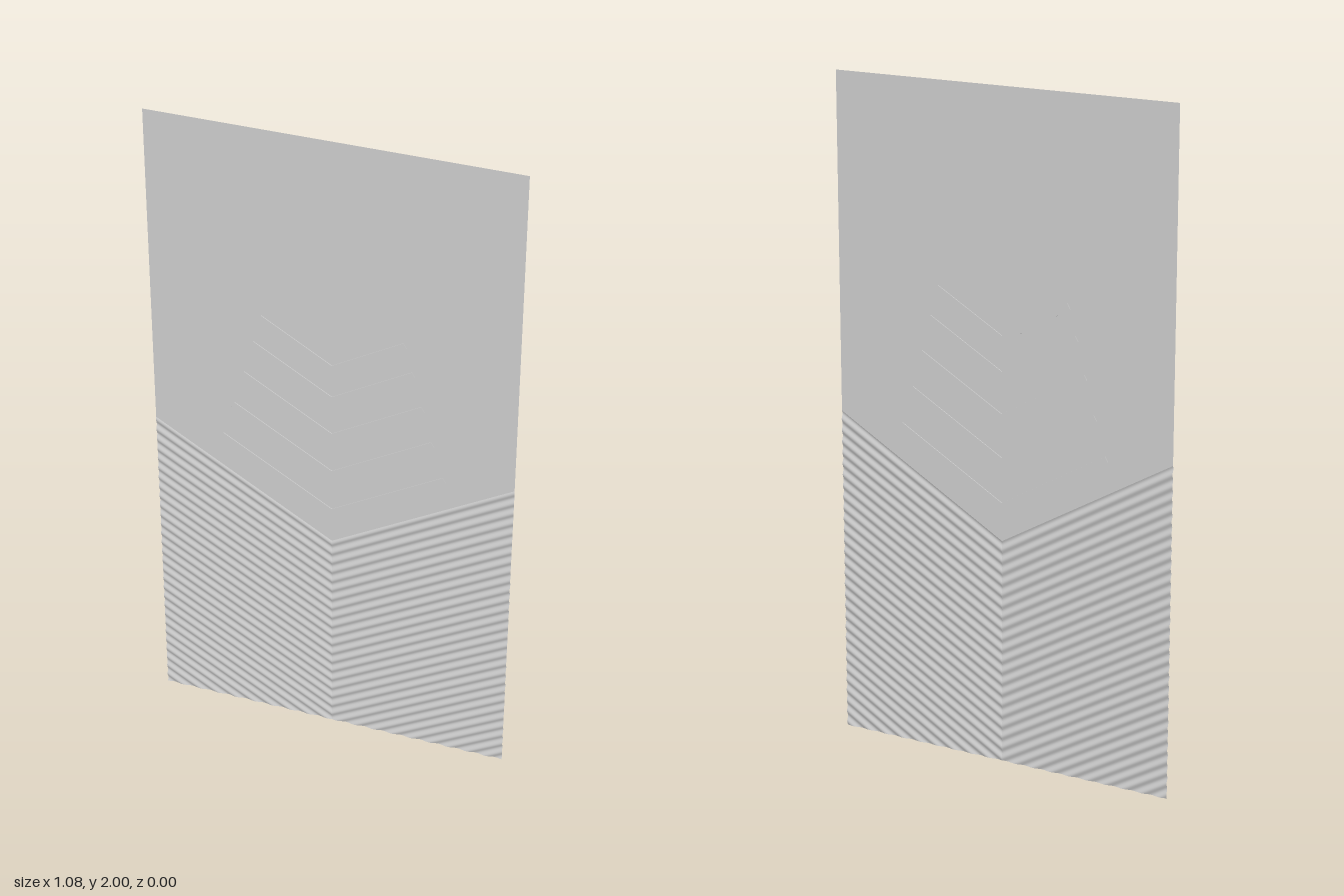
import * as THREE from 'three';

const HALF_WIDTH = 0.54, HEIGHT = 2, SLOPE = Math.tan(Math.PI / 6);
const PITCH = 0.0342, RIBS = 20, RIB_TOP = PITCH * RIBS; // height of the ribbing on the centre line
const DEPTH = 0.0025;

const material = new THREE.MeshStandardMaterial({ color: 0xcccccc, side: THREE.DoubleSide });

function addMesh(group, name, geometry) {
  const mesh = new THREE.Mesh(geometry, material);
  mesh.name = name;
  group.add(mesh);
}

// One half of the corrugated lower sheet: sloping rows, cut off at the bottom edge
function ribbedHalf(side) {
  const positions = [], index = [], steps = 8;
  const lowest = -HALF_WIDTH * SLOPE;
  const rows = Math.ceil((RIB_TOP - lowest) / PITCH * steps);
  for (let i = 0; i <= rows; i++) {
    const s = Math.max(RIB_TOP - i * PITCH / steps, lowest);
    const z = DEPTH * Math.sin((RIB_TOP - s) / PITCH * Math.PI * 2);
    const start = Math.max(0, -s / SLOPE);
    for (const x of [start, HALF_WIDTH]) positions.push(side * x, Math.max(0, s + SLOPE * x), z);
    if (i === 0) continue;
    const a = 2 * i - 2, b = a + 1, c = a + 2, d = a + 3;
    if (side > 0) index.push(a, c, b, b, c, d);
    else index.push(a, b, c, b, d, c);
  }
  const geometry = new THREE.BufferGeometry();
  geometry.setAttribute('position', new THREE.Float32BufferAttribute(positions, 3));
  geometry.setIndex(index);
  geometry.computeVertexNormals();
  return geometry;
}

// Raised V-shaped bar with square-cut ends, standing out on both faces
function chevron(top, reach) {
  const t = 0.022, endX = 0.0095, low = top - t;
  const tipX = reach - endX; // upper corner of the tip
  const points = [
    [0, low], [reach, low + SLOPE * reach], [tipX, top + SLOPE * tipX],
    [0, top], [-tipX, top + SLOPE * tipX], [-reach, low + SLOPE * reach],
  ].map(([x, y]) => new THREE.Vector2(x, y));
  const geometry = new THREE.ExtrudeGeometry(new THREE.Shape(points), { depth: 2 * DEPTH, bevelEnabled: false });
  return geometry.translate(0, 0, -DEPTH);
}

export function createModel() {
  const group = new THREE.Group();
  group.name = 'ribbedPanel';

  // Flat upper sheet with a V-shaped lower edge
  const shoulder = RIB_TOP + SLOPE * HALF_WIDTH;
  const outline = [
    [0, RIB_TOP], [HALF_WIDTH, shoulder], [HALF_WIDTH, HEIGHT], [-HALF_WIDTH, HEIGHT], [-HALF_WIDTH, shoulder],
  ].map(([x, y]) => new THREE.Vector2(x, y));
  addMesh(group, 'upperSheet', new THREE.ShapeGeometry(new THREE.Shape(outline)));

  // Corrugated lower sheet, mirrored about the centre line
  addMesh(group, 'ribbedSheetLeft', ribbedHalf(1));
  addMesh(group, 'ribbedSheetRight', ribbedHalf(-1));

  // Five chevrons, shorter towards the top
  [[0.8, 0.34], [0.935, 0.303], [1.065, 0.272], [1.19, 0.243], [1.295, 0.217]].forEach(([top, reach], i) =>
    addMesh(group, `chevron${i + 1}`, chevron(top, reach)));

  return group;
}
